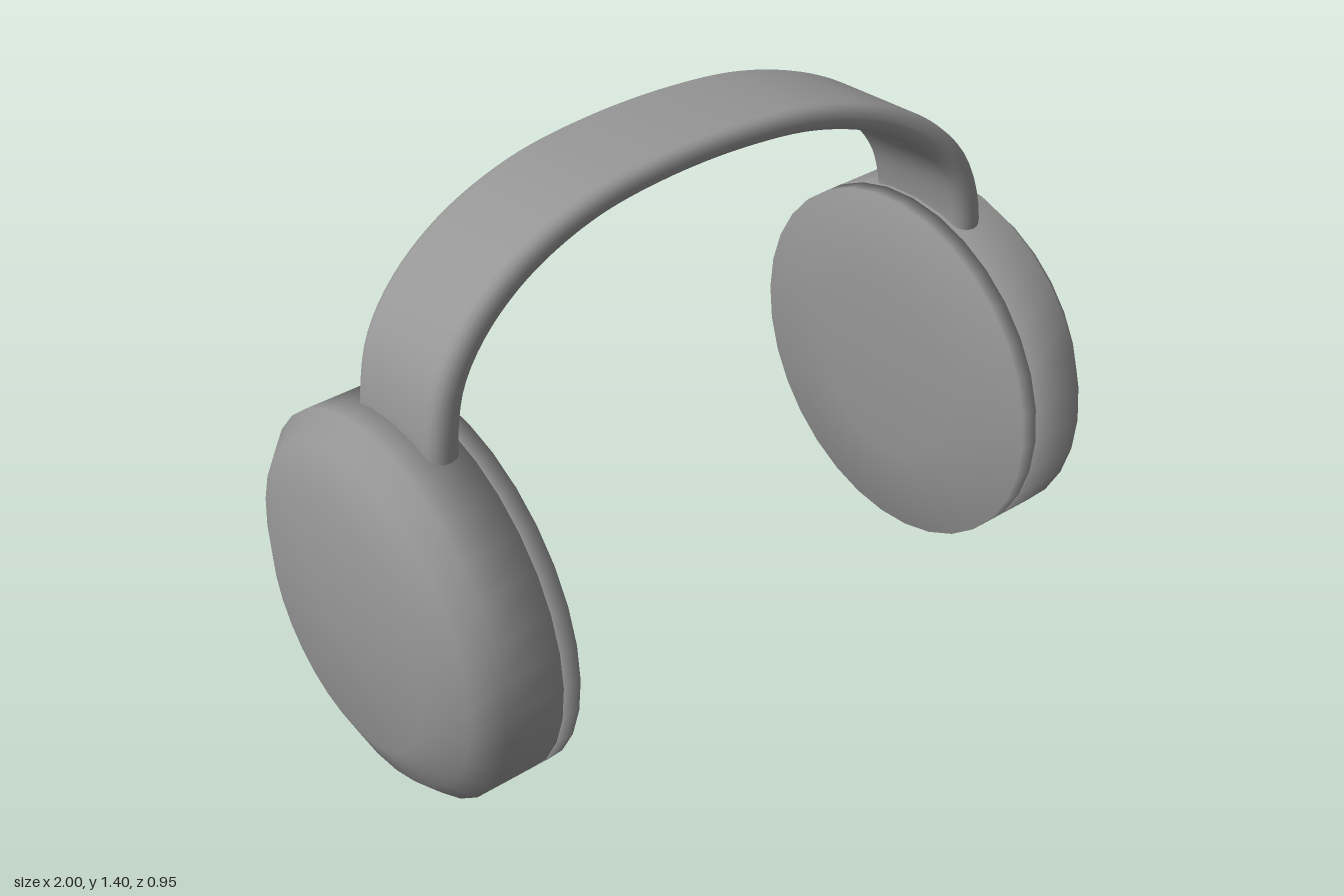
import * as THREE from 'three';
import { mergeVertices } from 'three/addons/utils/BufferGeometryUtils.js';

const material = new THREE.MeshStandardMaterial({ color: 0x969696 });

// Outline of a rounded rectangle, counter-clockwise, as [across, thick] pairs
function roundedOutline(w, t, r, steps = 4) {
  const corners = [[1, 1], [-1, 1], [-1, -1], [1, -1]];
  return corners.flatMap(([sx, sy], c) =>
    Array.from({ length: steps + 1 }, (_, i) => {
      const a = (c + i / steps) * Math.PI / 2;
      return [sx * (w / 2 - r) + r * Math.cos(a), sy * (t / 2 - r) + r * Math.sin(a)];
    }));
}

// Headband: rounded strip swept along an arch that leans back at the top
function bandGeometry() {
  const half = [
    [-0.77, 0.87, 0.004], [-0.768, 0.96, 0.002], [-0.735, 1.08, -0.01], [-0.655, 1.18, -0.027],
    [-0.52, 1.267, -0.048], [-0.33, 1.33, -0.066], [-0.12, 1.354, -0.075],
  ];
  const mirrored = half.slice().reverse().map(([x, y, z]) => [-x, y, z]);
  const path = new THREE.CatmullRomCurve3(
    [...half, ...mirrored].map((p) => new THREE.Vector3(...p)), false, 'centripetal');
  const rings = 64;
  const positions = [];
  const index = [];
  let n = 0;
  for (let i = 0; i <= rings; i++) {
    const p = path.getPointAt(i / rings);
    const tangent = path.getTangentAt(i / rings);
    const across = new THREE.Vector3(0, 0.09, 1);
    across.addScaledVector(tangent, -across.dot(tangent)).normalize();
    const up = new THREE.Vector3().crossVectors(across, tangent).normalize();
    // The strip thickens slightly towards its ends
    const thick = 0.06 + 0.018 * Math.min(1, Math.abs(p.x) / 0.77) ** 2;
    const outline = roundedOutline(0.32, thick, thick * 0.45);
    n = outline.length;
    for (const [a, b] of outline) {
      const v = p.clone().addScaledVector(across, a).addScaledVector(up, b);
      positions.push(v.x, v.y, v.z);
    }
  }
  // The outline runs clockwise as seen along the path
  for (let i = 0; i < rings; i++) {
    for (let j = 0; j < n; j++) {
      const a = i * n + j, b = i * n + (j + 1) % n;
      index.push(a, a + n, b, b, a + n, b + n);
    }
  }
  const g = new THREE.BufferGeometry();
  g.setAttribute('position', new THREE.Float32BufferAttribute(positions, 3));
  g.setIndex(index);
  g.computeVertexNormals();
  return g;
}

// Closed turned piece with smooth, area-weighted normals
function turned(name, profile) {
  const lathe = new THREE.LatheGeometry(profile.map(([r, x]) => new THREE.Vector2(r, x)), 32);
  lathe.deleteAttribute('normal');
  lathe.deleteAttribute('uv');
  const g = mergeVertices(lathe, 1e-4);
  g.computeVertexNormals();
  const mesh = new THREE.Mesh(g, material);
  mesh.name = name;
  return mesh;
}

// One ear cup: a thin pad against a domed shell, turned around the x axis
function earCup(side) {
  const cup = new THREE.Group();
  cup.name = side > 0 ? 'leftEarCup' : 'rightEarCup';
  cup.add(
    turned('earPad', [[0, 0.65], [0.245, 0.65], [0.477, 0.675], [0.477, 0.72], [0, 0.72]]),
    turned('outerShell', [[0, 0.72], [0.477, 0.72], [0.477, 0.87], [0.42, 0.925], [0.315, 0.973], [0, 1]]),
  );
  cup.rotation.z = -side * Math.PI / 2;
  cup.position.y = 0.478;
  return cup;
}

export function createModel() {
  const model = new THREE.Group();
  model.name = 'headphones';
  const band = new THREE.Mesh(bandGeometry(), material);
  band.name = 'headband';
  model.add(band, earCup(1), earCup(-1));
  return model;
}
